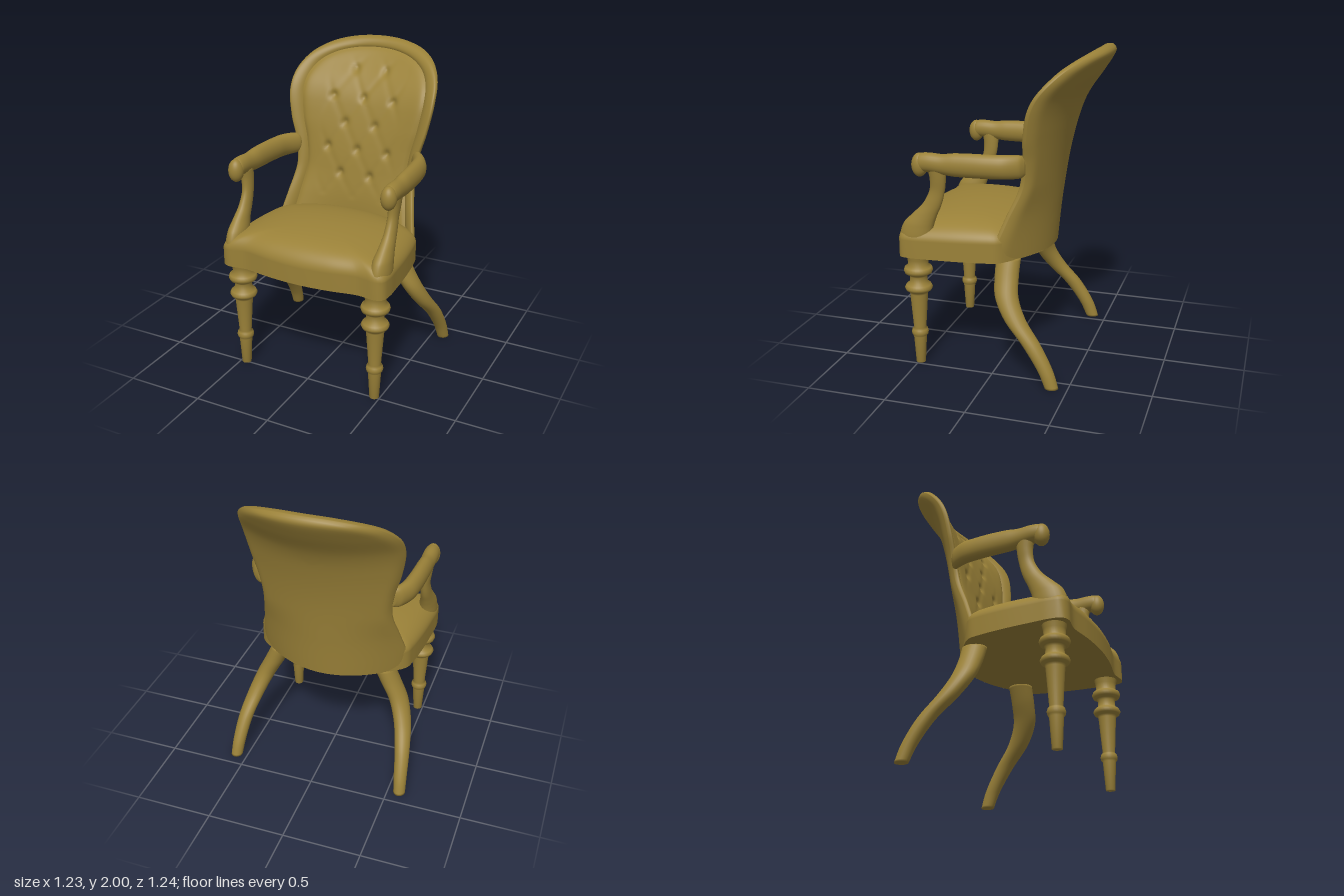
import * as THREE from 'three';
import { mergeVertices } from 'three/addons/utils/BufferGeometryUtils.js';

const material = new THREE.MeshStandardMaterial({ color: 0x9a8138, roughness: 0.8, side: THREE.DoubleSide });
const BASE = 0.73;

// Smooth interpolation through a table of [key, value]
function interp(table, k) {
  const n = table.length - 1;
  let i = 0;
  while (i < n - 1 && k > table[i + 1][0]) i++;
  const slope = (j) => {
    const a = table[Math.max(j - 1, 0)], b = table[Math.min(j + 1, n)];
    return (b[1] - a[1]) / (b[0] - a[0]);
  };
  const [x0, y0] = table[i], [x1, y1] = table[i + 1], h = x1 - x0;
  const t = THREE.MathUtils.clamp((k - x0) / h, 0, 1), t2 = t * t, t3 = t2 * t;
  return y0 * (2 * t3 - 3 * t2 + 1) + y1 * (3 * t2 - 2 * t3)
    + h * (slope(i) * (t3 - 2 * t2 + t) + slope(i + 1) * (t3 - t2));
}

// Smooth surface from a grid of points; front side is du x dv
function grid(nu, nv, fn, flip = false) {
  const pos = [], idx = [];
  for (let i = 0; i <= nu; i++) for (let j = 0; j <= nv; j++) pos.push(...fn(i / nu, j / nv));
  for (let i = 0; i < nu; i++) for (let j = 0; j < nv; j++) {
    const a = i * (nv + 1) + j, b = a + nv + 1;
    if (flip) idx.push(a, a + 1, b, b, a + 1, b + 1);
    else idx.push(a, b, a + 1, b, b + 1, a + 1);
  }
  let g = new THREE.BufferGeometry();
  g.setAttribute('position', new THREE.Float32BufferAttribute(pos, 3));
  g.setIndex(idx);
  g = mergeVertices(g, 1e-5);
  g.computeVertexNormals();
  return g;
}

// Sweep of ellipses: stations are [x, y, z, r1, r2]; sections are level or upright
function sweep(stations, side, upright = false) {
  const path = new THREE.CatmullRomCurve3(stations.map((s) => new THREE.Vector3(s[0], s[1], s[2])));
  const radii = new THREE.CatmullRomCurve3(stations.map((s) => new THREE.Vector3(s[3], s[4], 0)));
  const rows = 48;
  return grid(rows + 2, 24, (u, v) => {
    const i = Math.round(u * (rows + 2)), t = THREE.MathUtils.clamp((i - 1) / rows, 0, 1);
    const p = path.getPoint(t), r = radii.getPoint(t);
    const cap = i === 0 || i === rows + 2 ? 0 : 1;
    const a = v * Math.PI * 2, c = Math.cos(a) * r.x * cap, s = Math.sin(a) * r.y * cap;
    return upright ? [side * (p.x + c), p.y - s, p.z] : [side * (p.x + c), p.y, p.z + s];
  }, side < 0);
}

// Rear surface of the back, padding thickness along its middle, rim thickness
const rearLine = [[0.73, -0.27], [1, -0.295], [1.3, -0.335], [1.55, -0.395], [1.7, -0.455], [1.85, -0.555], [1.95, -0.615], [2, -0.622]];
const rearCurve = [[0.73, 0.96], [1, 0.82], [1.2, 0.63], [1.5, 0.62], [1.75, 0.67], [2, 0.72]];
const padding = [[0.73, 0.15], [1, 0.165], [1.2, 0.155], [1.48, 0.145], [1.7, 0.145], [1.85, 0.16], [2, 0.115]];
const rimDepth = [[0.73, 0.074], [1.6, 0.074], [1.8, 0.08], [1.94, 0.1], [2, 0.1]];
const rearZ = (x, y) => interp(rearLine, y) + interp(rearCurve, y) * x * x;

// Buttons sit on a diamond lattice, joined by faint creases
function tuft(x, y) {
  const p = x / 0.21 + (y - 1.33) / 0.32, q = x / 0.21 - (y - 1.33) / 0.32;
  const dp = p - Math.round(p), dq = q - Math.round(q);
  const d2 = ((dp + dq) * 0.105) ** 2 + ((dp - dq) * 0.16) ** 2;
  const crease = Math.exp(-dp * dp / 0.015) + Math.exp(-dq * dq / 0.015);
  return 0.02 * Math.exp(-d2 / 0.0006) + 0.003 * crease;
}

function backGeometry() {
  const half = [[0.5, 0.73], [0.487, 0.85], [0.455, 1], [0.42, 1.2], [0.436, 1.35], [0.477, 1.5], [0.505, 1.68], [0.49, 1.8], [0.43, 1.89], [0.33, 1.95], [0.18, 1.988]];
  const all = [...half, [0, 2], ...half.map(([x, y]) => [-x, y]).reverse()];
  const outline = new THREE.CatmullRomCurve3(all.map(([x, y]) => new THREE.Vector3(x, y, 0)));
  const nu = 260, rear = 18, rim = 14, pad = 30, nv = rear + rim + pad, inner = 0.84;
  const { smoothstep } = THREE.MathUtils;
  const ring = Array.from({ length: nu + 1 }, (_, i) => outline.getPointAt(i / nu));
  return grid(nu, nv, (u, v) => {
    const o = ring[Math.round(u * nu)], j = Math.round(v * nv);
    // rear centre -> edge -> rolled rim -> padded front centre
    let s;
    if (j <= rear) s = Math.sin(j / rear * Math.PI / 2);
    else if (j <= rear + rim) s = inner + (1 - inner) * (0.5 + 0.5 * Math.cos(Math.PI * (j - rear) / rim));
    else s = inner * (1 - (j - rear - rim) / pad);
    const ay = Math.min(o.y, 1.6), x = o.x * s, y = ay + (o.y - ay) * s;
    const e = Math.max(0, (s - inner) / (1 - inner)), k = s / inner;
    const depth = interp(rimDepth, y);
    let z = rearZ(x, y) + 0.032 * e ** 4;
    if (j > rear && j < rear + rim) {
      z += depth * Math.sqrt(Math.max(0, 1 - e ** 3)) - 0.016 * (1 - e) ** 4;
    } else if (j > rear) {
      const fade = (1 - smoothstep(Math.abs(x), 0.225, 0.29)) * smoothstep(y, 1.0, 1.12) * (1 - smoothstep(y, 1.83, 1.9));
      z += depth + (interp(padding, y) - depth) * (1 - k * k) - 0.016 * k ** 24 - fade * tuft(x, y);
    }
    return [x, y, z];
  });
}

// Seat plan, from the front left corner round the rear
const seatHalf = [[0.2, 0.609], [0.38, 0.58], [0.43, 0.584], [0.5, 0.592], [0.545, 0.57], [0.559, 0.5], [0.555, 0.4], [0.54, 0.2], [0.515, 0.03], [0.495, -0.037], [0.4, -0.118], [0.2, -0.232]];
const seatAll = [...seatHalf, [0, -0.27], ...seatHalf.map(([x, z]) => [-x, z]).reverse(), [0, 0.622]];
const seatPlan = new THREE.CatmullRomCurve3(seatAll.map(([x, z]) => new THREE.Vector3(x, 0, z)), true);

function seatPoint(u, s, y) {
  const p = seatPlan.getPointAt(u % 1);
  return [p.x * s, y, 0.26 + (p.z - 0.26) * s];
}

// Rounded edge plus a broad crown across the middle
const seatTop = () => grid(160, 30, (u, v) => {
  if (v === 0) return seatPoint(u, 1, BASE);
  const s = Math.cos((v - 1 / 30) / (29 / 30) * Math.PI / 2);
  const p = seatPoint(u, s, 0.84 + 0.1 * Math.sqrt(Math.max(0, 1 - s ** 6)));
  p[1] += 0.062 * (1 - (p[0] / 0.57) ** 2) * (1 - ((p[2] - 0.22) / 0.41) ** 2);
  return p;
});
const seatBottom = () => grid(160, 1, (u, v) => seatPoint(u, v, BASE));

// Turned front leg
function frontLegGeometry() {
  const profile = [[0, 0], [0.03, 0], [0.041, 0.18], [0.05, 0.192], [0.054, 0.21], [0.049, 0.228], [0.039, 0.24],
    [0.056, 0.47], [0.062, 0.485], [0.08, 0.495], [0.087, 0.512], [0.078, 0.53], [0.056, 0.548], [0.054, 0.585],
    [0.064, 0.598], [0.084, 0.608], [0.091, 0.627], [0.084, 0.645], [0.062, 0.66], [0.066, 0.7], [0.076, 0.745]];
  return new THREE.LatheGeometry(profile.map(([r, y]) => new THREE.Vector2(r, y)), 32);
}

const backLeg = [[0.575, 0, -0.402, 0.038, 0.042], [0.567, 0.1, -0.362, 0.042, 0.048], [0.548, 0.25, -0.268, 0.048, 0.058],
  [0.51, 0.39, -0.15, 0.056, 0.068], [0.462, 0.51, -0.085, 0.062, 0.073], [0.405, 0.62, -0.068, 0.066, 0.075], [0.352, 0.733, -0.065, 0.068, 0.077]];

const armPost = [[0.495, 0.81, 0.487, 0.05, 0.085], [0.495, 0.87, 0.482, 0.06, 0.103], [0.496, 0.94, 0.462, 0.054, 0.098],
  [0.498, 1.0, 0.422, 0.043, 0.08], [0.498, 1.07, 0.372, 0.035, 0.06], [0.498, 1.16, 0.337, 0.032, 0.048],
  [0.503, 1.23, 0.33, 0.036, 0.05], [0.508, 1.3, 0.335, 0.04, 0.058]];

const armRail = [[0.418, 1.325, -0.192, 0.024, 0.05], [0.44, 1.325, -0.165, 0.044, 0.07], [0.482, 1.326, -0.08, 0.05, 0.073],
  [0.498, 1.326, 0.02, 0.051, 0.073], [0.505, 1.326, 0.12, 0.05, 0.073], [0.508, 1.325, 0.22, 0.049, 0.071], [0.51, 1.324, 0.3, 0.047, 0.062],
  [0.511, 1.33, 0.38, 0.049, 0.06], [0.511, 1.328, 0.43, 0.047, 0.058], [0.512, 1.32, 0.466, 0.03, 0.035]];

export function createModel() {
  const chair = new THREE.Group();
  chair.name = 'armchair';
  const add = (name, geometry, x = 0, y = 0, z = 0) => {
    const mesh = new THREE.Mesh(geometry, material);
    mesh.name = name;
    mesh.position.set(x, y, z);
    chair.add(mesh);
    return mesh;
  };

  add('backrest', backGeometry());
  add('seatCushion', seatTop());
  add('seatUnderside', seatBottom());

  for (const [label, side] of [['left', 1], ['right', -1]]) {
    add(label + 'FrontLeg', frontLegGeometry(), side * 0.463, 0, 0.49);
    add(label + 'BackLeg', sweep(backLeg, side));
    add(label + 'ArmPost', sweep(armPost, side));
    add(label + 'ArmRail', sweep(armRail, side, true));
    // Scrolled hand rest at the end of the arm
    add(label + 'HandRest', new THREE.SphereGeometry(1, 28, 20), side * 0.512, 1.313, 0.44).scale.set(0.048, 0.073, 0.05);
  }
  return chair;
}
